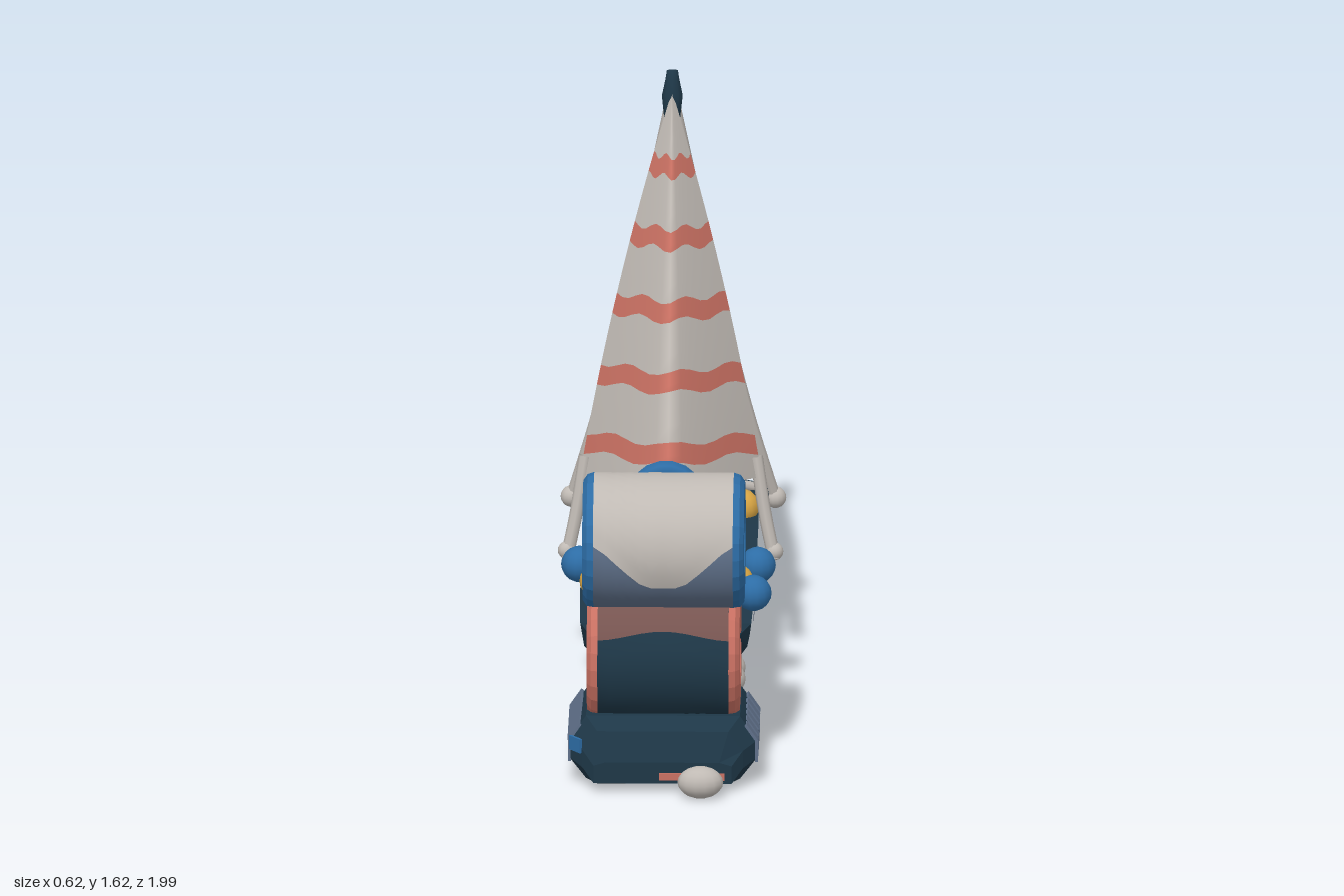
import * as THREE from 'three';

const mat = (name, color, side = THREE.FrontSide) => {
  const m = new THREE.MeshStandardMaterial({ color, side });
  m.name = name;
  return m;
};
const V = (x, y, z) => new THREE.Vector3(x, y, z);
const rad = THREE.MathUtils.degToRad;
const lerp = THREE.MathUtils.lerp;

export function createModel() {
  const root = new THREE.Group();
  root.name = 'sailingBarge';
  const white = mat('canvasGrey', 0xc0bab4, THREE.DoubleSide);
  const red = mat('coralRed', 0xca7163, THREE.DoubleSide);
  const navy = mat('darkNavy', 0x1e3747, THREE.DoubleSide);
  const blue = mat('blue', 0x2d6da6);
  const yellow = mat('yellow', 0xdca845);
  const slate = mat('slate', 0x5f7089, THREE.DoubleSide);
  const brown = mat('liningBrown', 0x765450, THREE.DoubleSide);

  const add = (name, geo, material, x = 0, y = 0, z = 0, parent = root) => {
    const m = new THREE.Mesh(geo, material);
    m.name = name;
    m.position.set(x, y, z);
    parent.add(m);
    return m;
  };
  // Faceted copy of a geometry
  const flat = (g) => {
    const f = g.index ? g.toNonIndexed() : g;
    f.computeVertexNormals();
    return f;
  };
  const tube = (name, pts, r, material, sides = 8) =>
    add(name, new THREE.TubeGeometry(new THREE.CatmullRomCurve3(pts), 20, r, sides), material);
  const ball = (name, material, x, y, z, r = 0.05) =>
    add(name, new THREE.SphereGeometry(r, 14, 10), material, x, y, z);
  // Surface from a grid of points
  const grid = (rows) => {
    const pos = [], idx = [], n = rows[0].length;
    rows.forEach((row) => row.forEach((p) => pos.push(p.x, p.y, p.z)));
    for (let i = 0; i < rows.length - 1; i++) {
      for (let j = 0; j < n - 1; j++) {
        const a = i * n + j, b = a + n;
        idx.push(a, b, a + 1, b, b + 1, a + 1);
      }
    }
    const g = new THREE.BufferGeometry();
    g.setAttribute('position', new THREE.Float32BufferAttribute(pos, 3));
    g.setIndex(idx);
    g.computeVertexNormals();
    return g;
  };

  // Hull: z, top half-width, top y, bottom half-width, bottom y
  const stations = [
    [0.61, 0.21, 0.37, 0.18, 0.34], [0.42, 0.235, 0.34, 0.18, 0.22],
    [0.15, 0.24, 0.35, 0.17, 0.12], [-0.1, 0.24, 0.36, 0.17, 0.085],
    [-0.4, 0.24, 0.37, 0.18, 0.09], [-0.69, 0.235, 0.37, 0.16, 0.12],
    [-0.74, 0.24, 0.37, 0.18, 0.28],
  ];
  const section = ([z, w, t, b, y]) => {
    const m = y + (t - y) * 0.45, mw = b + (w - b) * 0.8;
    return [V(-w, t, z), V(-mw, m, z), V(-b, y, z), V(b, y, z), V(mw, m, z), V(w, t, z), V(-w, t, z)];
  };
  const capped = (rows) => {
    const ends = [rows[0], rows[rows.length - 1]].map((r) => r.map((p) => V(0, p.y, p.z)));
    return flat(grid([ends[0], ...rows, ends[1]]));
  };
  add('hull', capped(stations.map(section)), navy);

  // Pointed stern deck, thinning and rising to its tip
  const sternShape = new THREE.Shape([[-0.28, 0.74], [0, 0.87], [0.28, 0.74], [0.2, 0.62], [-0.2, 0.62]]
    .map(([x, y]) => new THREE.Vector2(x, y)));
  const sternGeo = new THREE.ExtrudeGeometry(sternShape, { depth: 0.05, bevelEnabled: false }).rotateX(-Math.PI / 2);
  const sp = sternGeo.attributes.position;
  for (let i = 0; i < sp.count; i++) {
    if (sp.getZ(i) < -0.8) sp.setY(i, 0.042 + sp.getY(i) * 0.25);
    else if (sp.getZ(i) > -0.7) sp.setY(i, sp.getY(i) * 0.9);
  }
  sternGeo.computeVertexNormals();
  add('sternDeck', sternGeo, navy, 0, 0.325, 0);

  // Worn streak on each side of the hull
  for (const s of [-1, 1]) {
    const streak = new THREE.Shape([[-0.25, 0.255], [-0.22, 0.27], [-0.1, 0.265], [0.0, 0.26], [0.08, 0.24],
      [0.03, 0.225], [-0.08, 0.225], [-0.17, 0.24]].map(([z, y]) => new THREE.Vector2(-z, y)));
    add('hullStreak', new THREE.ShapeGeometry(streak).rotateY(Math.PI / 2), slate, s * 0.235, 0, 0);
  }

  // Stacked drums: ring ends, hubs and shell sectors whose edges dip across the width
  const drum = (name, y, z, r, half, ringMat, sectors) => {
    const g = new THREE.Group();
    g.name = name;
    g.position.set(0, y, z);
    root.add(g);
    const w = half - 0.03;
    sectors.forEach(([from, to, m]) => add('drumShell', grid(Array.from({ length: 13 }, (_, i) => {
      const u = i / 6 - 1;
      return Array.from({ length: 25 }, (_, k) => {
        const a = rad(lerp(from(u), to(u), k / 24));
        return V(u * w, Math.sin(a) * r, Math.cos(a) * r);
      });
    })), m, 0, 0, 0, g));
    const profile = [[r, w], [r * 0.97, half - 0.012], [r * 0.88, half], [0.09, half], [0.068, half - 0.03]]
      .map(([x, h]) => new THREE.Vector2(x, h));
    for (const s of [-1, 1]) {
      add('ringEnd', flat(new THREE.LatheGeometry(profile, 24).rotateZ(s * Math.PI / 2)), ringMat, 0, 0, 0, g);
    }
    add('hub', new THREE.CylinderGeometry(0.072, 0.072, half * 2 - 0.05, 12).rotateZ(Math.PI / 2), white, 0, 0, 0, g);
  };
  const dip = (u) => lerp(-27, 12, Math.min(1, Math.max(0, (Math.abs(u) - 0.25) / 0.7)));
  drum('upperDrum', 0.66, 0.68, 0.188, 0.222, blue, [[() => -88, dip, slate], [dip, () => 272, white]]);
  const bandLow = (u) => 30 + 4 * Math.cos(u * 3), bandHigh = () => 66;
  drum('lowerDrum', 0.34, 0.675, 0.188, 0.21, red,
    [[bandHigh, (u) => bandLow(u) + 360, navy], [bandLow, bandHigh, brown]]);

  // Base block with slanted ends
  const baseRows = [[0.9, 0.19, 0.03, 0.09], [0.87, 0.22, 0.02, 0.17], [0.82, 0.258, 0.02, 0.2],
    [0.52, 0.258, 0.02, 0.19], [0.42, 0.22, 0.02, 0.13], [0.38, 0.19, 0.03, 0.08]]
    .map(([z, w, b, t]) => {
      const m = b + (t - b) * 0.5, c = w * 0.82;
      return [V(-c, t, z), V(-w, m + 0.02, z), V(-w, m - 0.03, z), V(-c, b, z), V(c, b, z), V(w, m - 0.03, z),
        V(w, m + 0.02, z), V(c, t, z), V(-c, t, z)];
    });
  add('base', capped(baseRows), navy);
  add('baseFrontPatch', new THREE.BoxGeometry(0.18, 0.02, 0.008), red, 0.08, 0.05, 0.9);
  add('baseCornerPatch', new THREE.BoxGeometry(0.05, 0.04, 0.008), blue, -0.24, 0.125, 0.846).rotation.y = -0.92;

  // Slate ribs on one side of the base, a plain slate panel on the other
  const sidePlate = (s, length, z) => {
    add('basePlateLower', new THREE.BoxGeometry(0.008, 0.06, length), slate, s * 0.257, 0.1, z);
    const upper = add('basePlateUpper', new THREE.BoxGeometry(0.008, 0.058, length), slate, s * 0.243, 0.152, z);
    upper.rotation.z = s * 0.6;
  };
  for (let i = 0; i < 6; i++) sidePlate(1, 0.034, 0.54 + i * 0.054);
  sidePlate(-1, 0.32, 0.665);

  // Bent pipe and its blue collars
  tube('pipe', [V(0, 0.67, 0.53), V(0, 0.67, 0.4), V(0, 0.67, 0.3), V(0, 0.645, 0.258), V(0, 0.59, 0.247),
    V(0, 0.48, 0.247), V(0, 0.34, 0.247)], 0.087, white, 12);
  add('pipeFlange', new THREE.CylinderGeometry(0.105, 0.105, 0.06, 12).rotateX(Math.PI / 2), white, 0, 0.67, 0.49);
  add('pipeCollar', new THREE.TorusGeometry(0.08, 0.028, 8, 18), blue, 0, 0.68, 0.355);
  add('pipeCollar', new THREE.TorusGeometry(0.08, 0.028, 8, 18).rotateX(Math.PI / 2), blue, 0, 0.55, 0.25);

  // Raked mast with a swollen tip
  tube('mast', [V(0, 0.34, -0.35), V(0, 1.0, -0.46), V(0, 1.57, -0.565)], 0.021, navy);
  const tipProfile = [[0, -0.08], [0.022, -0.07], [0.03, 0], [0.02, 0.045], [0.016, 0.07], [0, 0.072]]
    .map(([x, y]) => new THREE.Vector2(x, y));
  add('mastTip', new THREE.LatheGeometry(tipProfile, 10).rotateX(-0.2), navy, 0, 1.55, -0.562);

  // Sails made of alternating wavy bands: u runs across, t runs down from the peak
  const sail = (name, point, stripes, width, wave, freq) => {
    const g = new THREE.Group();
    g.name = name;
    root.add(g);
    const cuts = [0, ...stripes.flatMap((s) => [s - width / 2, s + width / 2]), 1];
    for (let i = 0; i < cuts.length - 1; i++) {
      const line = (t) => Array.from({ length: 17 }, (_, k) => {
        const u = k / 8 - 1;
        const w = t === 0 || t === 1 ? 0 : wave * Math.sin(u * freq + t * 5);
        return point(u, t + w);
      });
      const c = [0, 1, 2, 3].map((k) => line(lerp(cuts[i], cuts[i + 1], k / 3)));
      add(i % 2 ? 'sailStripe' : 'sailCloth', grid(c), i % 2 ? red : white, 0, 0, 0, g);
    }
  };
  const mainPoint = (u, t) => {
    const a = Math.abs(u);
    const p = V(0, 1.57, -0.54).lerp(V(0, lerp(0.6, 0.52, a), lerp(0.05, -0.35, a)), t);
    p.x = Math.sign(u) * 0.25 * Math.pow(a, 0.9) * t * (1 + 0.3 * (1 - t));
    return p;
  };
  sail('mainSail', mainPoint, [0.19, 0.37, 0.55, 0.73, 0.91], 0.05, 0.009, 9);
  const aftPoint = (u, t) => V(0, 0.84, -0.57)
    .lerp(V(Math.sin(u * Math.PI) * 0.105, 0.425, -0.535 + Math.cos(u * Math.PI) * 0.115), t);
  sail('aftSail', aftPoint, [0.32, 0.5, 0.68, 0.87], 0.06, 0.012, Math.PI * 3);

  // Dark lining on the lower inside of the main sail
  for (const s of [-1, 1]) {
    add('sailLining', grid([0.45, 0.6, 0.75, 0.88].map((t) => [0.62, 0.74, 0.86, 0.97].map((a) =>
      mainPoint(s * a, t).add(V(-s * 0.006, 0, -0.006))))), brown);
  }

  // Stern stays, sail tethers and stern rope
  for (const s of [-1, 1]) {
    tube('sternStay', [V(0, 1.54, -0.57), V(s * 0.1, 1.05, -0.635), V(s * 0.2, 0.62, -0.675),
      V(s * 0.28, 0.33, -0.735)], 0.018, white);
    ball('stayKnot', white, s * 0.28, 0.34, -0.735, 0.03);
    tube('sailTether', [V(s * 0.235, 0.58, -0.345), V(s * 0.26, 0.42, -0.32), V(s * 0.285, 0.3, -0.3)], 0.018, white);
    ball('tetherKnot', white, s * 0.285, 0.32, -0.305, 0.025);
  }
  tube('sternRope', [V(-0.28, 0.36, -0.735), V(-0.14, 0.4, -0.67), V(0, 0.41, -0.62), V(0.14, 0.4, -0.67),
    V(0.28, 0.36, -0.735)], 0.014, white);

  // Deck, side and keel balls in mirrored pairs
  for (const s of [-1, 1]) {
    [[0.19, 0.41, 0.26], [0.145, 0.42, 0.155], [0.15, 0.4, -0.13], [0.12, 0.42, -0.25],
      [0.13, 0.385, -0.36], [0.19, 0.39, -0.49]].forEach(([x, y, z]) => ball('deckBall', yellow, s * x, y, z));
    ball('sideBall', blue, s * 0.245, 0.38, 0.01);
    ball('baseBall', blue, s * 0.16, 0.115, 0.35);
    ball('baseBall', navy, s * 0.15, 0.17, 0.43);
    ball('keelBall', white, s * 0.17, 0.1, 0.16, 0.045);
    ball('keelBall', white, s * 0.17, 0.1, 0.055, 0.043);
  }
  ball('bowBall', blue, 0.24, 0.41, 0.36);
  ball('sailBall', white, 0, 0.465, -0.02);
  ball('frontDeckBall', yellow, 0, 0.41, 0.08).scale.x = 1.7;
  ball('frontBall', white, 0.105, 0.05, 0.95, 0.045).scale.x = 1.4;

  // Cluster of balls trailing the stern
  [[red, 0.1, 0.095, -0.95], [white, 0.05, 0.13, -0.88], [white, -0.06, 0.11, -0.86], [red, 0.1, 0.15, -0.82],
    [white, 0, 0.17, -0.83], [white, -0.1, 0.12, -0.78], [white, 0.08, 0.11, -0.76], [red, -0.22, 0.14, -0.76],
    [blue, 0.18, 0.16, -0.7], [white, -0.16, 0.15, -0.77]]
    .forEach(([m, x, y, z]) => ball('trailBall', m, x, y, z, 0.045));

  // Small pennant on the foredeck
  tube('flagPole', [V(0, 0.36, 0.085), V(0, 0.5, 0.085), V(0, 0.6, 0.09)], 0.009, navy);
  const pennant = new THREE.Shape([[0, 0.6], [-0.055, 0.565], [0, 0.535]].map(([x, y]) => new THREE.Vector2(-x, y)));
  add('pennant', new THREE.ShapeGeometry(pennant).rotateY(Math.PI / 2), navy, 0, 0, 0.085);

  return root;
}
